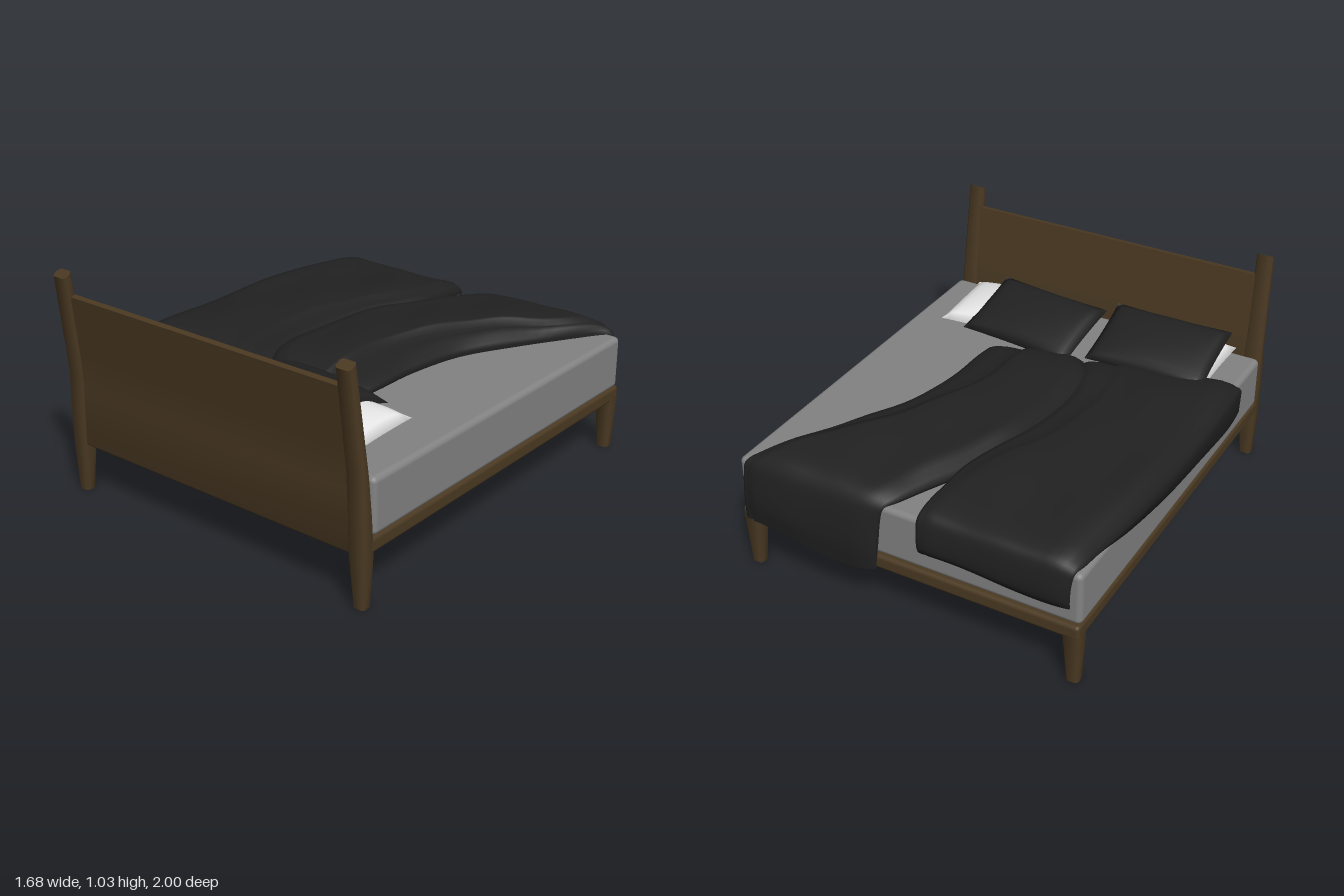
import * as THREE from 'three';
import { mergeVertices, toCreasedNormals } from 'three/addons/utils/BufferGeometryUtils.js';
import { RoundedBoxGeometry } from 'three/addons/geometries/RoundedBoxGeometry.js';

const CX = 0.0245; // centre line of the bed frame

const flat = (name, color, side = THREE.FrontSide) => {
  const m = new THREE.MeshStandardMaterial({ color, side });
  m.name = name;
  return m;
};

function add(group, name, geometry, material) {
  const mesh = new THREE.Mesh(geometry, material);
  mesh.name = name;
  group.add(mesh);
  return mesh;
}

// Grid of points (rows of equal length) to a geometry
function skin(rows, closed) {
  const n = rows[0].length, pos = rows.flat(2), idx = [];
  for (let r = 0; r < rows.length - 1; r++) {
    for (let c = 0; c < (closed ? n : n - 1); c++) {
      const a = r * n + c, b = r * n + (c + 1) % n;
      idx.push(a, a + n, b, b, a + n, b + n);
    }
  }
  if (closed) { // end caps
    const top = (rows.length - 1) * n;
    for (let c = 1; c < n - 1; c++) idx.push(0, c, c + 1, top, top + c + 1, top + c);
  }
  const g = new THREE.BufferGeometry();
  g.setAttribute('position', new THREE.Float32BufferAttribute(pos, 3));
  g.setIndex(idx);
  g.computeVertexNormals();
  return g;
}

// Tapered post with chamfered corners; stations: y, inner x, outer x, z min, z max, slope of the cut
function post(stations, side) {
  const k = 0.01;
  const rows = stations.map(([y, xi, xo, z0, z1, slope = 0]) => {
    const x0 = CX + Math.min(xi * side, xo * side), x1 = CX + Math.max(xi * side, xo * side);
    return [[x0 + k, z0], [x1 - k, z0], [x1, z0 + k], [x1, z1 - k],
      [x1 - k, z1], [x0 + k, z1], [x0, z1 - k], [x0, z0 + k]].map(([x, z]) => [x, y - slope * (z - z0), z]);
  });
  return toCreasedNormals(skin(rows, true), 0.9);
}

// Cushion pinched to a seam around its edge
function pillow(w, d, up, down) {
  let g = new THREE.BoxGeometry(2, 2, 2, 18, 1, 14);
  g.deleteAttribute('normal');
  g.deleteAttribute('uv');
  const p = g.attributes.position;
  for (let i = 0; i < p.count; i++) {
    const u = p.getX(i), v = p.getZ(i), s = p.getY(i);
    const puff = Math.pow(Math.max(0, (1 - u * u) * (1 - v * v)), 0.42);
    p.setXYZ(i, u * w / 2 * (1 - 0.02 * (1 - v * v)), s > 0 ? puff * up : -puff * down,
      v * d / 2 * (1 - 0.03 * (1 - u * u)));
  }
  g = mergeVertices(g, 1e-5);
  g.computeVertexNormals();
  return g;
}

// Draped cover; stations from head to foot:
// base z, base y, outer z, outer y, left x, fold x, right x, side drop, z skew
function cover(stations, flap, phase) {
  const size = 9, steps = 5, rows = [];
  const curve = new THREE.CubicInterpolant(stations.map((_, i) => i), stations.flat(), size, new Float32Array(size));
  const total = (stations.length - 1) * steps;
  for (let r = 0; r <= total; r++) {
    const [zb, yb, zo, yo, xl, xm, xr, drop, skew] = Array.from(curve.evaluate(r / steps));
    // section points: x, thickness fraction, drop
    const sec = [[xl + 0.04, 0, drop], [xl + 0.004, 0, drop * 0.72], [xl, 0.15, 0],
      [xl + 0.008, 0.5, 0], [xl + 0.045, 0.8, 0]];
    for (let i = 0; i <= 14; i++) sec.push([xl + 0.09 + (xm - xl - 0.09) * i / 14, 0.95 + 0.04 * Math.sin(Math.PI * i / 14), 0]);
    const w = xr - xm;
    sec.push([xm + w * 0.12, flap, 0], [xm + w * 0.5, flap * 1.03, 0], [xm + w * 0.8, flap * 0.88, 0],
      [xm + w * 0.97, flap * 0.5, 0], [xm + w, flap * 0.25, 0], [xm + w * 0.97, 0, 0]);
    const hang = Math.max(0, 0.5 - yb) * 4;
    rows.push(sec.map(([x, t, d]) => {
      const f = (x - xl) / (xr - xl);
      const k = t * (1 + 0.06 * Math.sin(11 * x + 5 * zb + phase) + 0.04 * Math.sin(19 * x - 9 * zb + phase * 2));
      const sag = hang * 0.025 * (Math.sin(f * 5 + phase) - 0.3);
      return [x, yb + (yo - yb) * k - d - sag, zb + (zo - zb) * k + skew * f];
    }));
  }
  return skin(rows, false);
}

export function createModel() {
  const bed = new THREE.Group();
  bed.name = 'bed';
  const wood = flat('dark wood', 0x4a3922);
  const grey = flat('mattress grey', 0x828282);
  const white = flat('pillow white', 0xeeeeee);
  const black = flat('charcoal cloth', 0x212121, THREE.DoubleSide);

  // Frame and mattress
  add(bed, 'bedBase', new RoundedBoxGeometry(1.62, 0.07, 1.855, 3, 0.018), wood).position.set(CX, 0.265, -0.0175);
  add(bed, 'mattress', new RoundedBoxGeometry(1.62, 0.248, 1.81, 4, 0.025), grey).position.set(CX, 0.422, -0.025);

  // Head posts and foot legs
  const headPost = [[0, 0.748, 0.803, 0.883, 0.934], [0.23, 0.732, 0.81, 0.87, 0.944],
    [0.40, 0.728, 0.81, 0.883, 0.944], [0.57, 0.722, 0.805, 0.896, 0.945], [1.035, 0.718, 0.792, 0.956, 1.0, 0.5]];
  const footLeg = [[0, 0.748, 0.803, -0.932, -0.88], [0.25, 0.732, 0.81, -0.945, -0.868]];
  for (const [side, label] of [[1, 'left'], [-1, 'right']]) {
    add(bed, label + 'HeadPost', post(headPost, side), wood);
    add(bed, label + 'FootLeg', post(footLeg, side), wood);
  }

  // Leaning headboard panel, drawn as a side profile and extruded across
  const s = new THREE.Shape();
  s.moveTo(0.898, 0.24);
  s.lineTo(0.898, 0.5);
  s.quadraticCurveTo(0.9, 0.58, 0.91, 0.65);
  s.lineTo(0.945, 0.932);
  s.lineTo(0.972, 0.928);
  s.lineTo(0.942, 0.65);
  s.quadraticCurveTo(0.934, 0.58, 0.932, 0.5);
  s.lineTo(0.932, 0.24);
  s.quadraticCurveTo(0.93, 0.224, 0.916, 0.224);
  s.quadraticCurveTo(0.902, 0.224, 0.898, 0.24);
  const board = new THREE.ExtrudeGeometry(s, { depth: 1.48, bevelEnabled: false, curveSegments: 6 });
  board.rotateY(-Math.PI / 2).translate(CX + 0.74, 0, 0);
  add(bed, 'headboard', toCreasedNormals(board, 0.6), wood);

  // Pillows: position, turn, lean
  const place = (name, geo, mat, x, y, z, turn, lean) => {
    const m = add(bed, name, geo, mat);
    m.position.set(x, y, z);
    m.rotation.set(lean, turn, 0, 'YXZ');
  };
  const lower = pillow(0.57, 0.4, 0.072, 0.04), upper = pillow(0.575, 0.375, 0.055, 0.035);
  place('rightWhitePillow', lower, white, -0.39, 0.584, 0.655, 0, 0);
  place('leftWhitePillow', lower, white, 0.395, 0.584, 0.645, 0.055, 0);
  place('rightDarkPillow', upper, black, -0.39, 0.648, 0.6, 0.01, -0.3);
  place('leftDarkPillow', upper, black, 0.22, 0.648, 0.54, -0.107, -0.3);

  // Two covers draped over the foot end
  add(bed, 'rightCover', cover([
    [0.57, 0.55, 0.57, 0.56, -0.82, -0.26, -0.10, 0.13, -0.14],
    [0.54, 0.545, 0.54, 0.605, -0.825, -0.28, -0.10, 0.14, -0.14],
    [0.38, 0.545, 0.38, 0.635, -0.838, -0.31, -0.15, 0.13, -0.12],
    [0.10, 0.545, 0.10, 0.638, -0.842, -0.33, -0.18, 0.09, -0.05],
    [-0.25, 0.545, -0.25, 0.642, -0.835, -0.28, -0.14, 0.06, 0],
    [-0.55, 0.545, -0.55, 0.64, -0.812, -0.15, -0.06, 0.03, 0],
    [-0.75, 0.545, -0.75, 0.625, -0.785, -0.11, -0.055, 0, 0],
    [-0.86, 0.545, -0.88, 0.608, -0.77, -0.10, -0.05, 0, 0],
    [-0.92, 0.54, -0.945, 0.575, -0.755, -0.10, -0.05, 0, 0],
    [-0.932, 0.49, -0.965, 0.50, -0.745, -0.10, -0.05, 0, 0],
    [-0.932, 0.42, -0.965, 0.42, -0.74, -0.10, -0.05, 0, 0],
    [-0.934, 0.38, -0.94, 0.375, -0.74, -0.10, -0.05, 0, 0],
  ], 0.78, 0.6), black);
  add(bed, 'leftCover', cover([
    [0.425, 0.55, 0.425, 0.56, -0.10, 0.16, 0.35, 0, -0.08],
    [0.40, 0.545, 0.40, 0.61, -0.12, 0.157, 0.35, 0, -0.08],
    [0.25, 0.545, 0.25, 0.64, -0.215, 0.157, 0.355, 0, -0.04],
    [0, 0.545, 0, 0.648, -0.225, 0.165, 0.36, 0, 0],
    [-0.27, 0.545, -0.27, 0.653, -0.19, 0.26, 0.41, 0, 0],
    [-0.52, 0.545, -0.52, 0.648, -0.095, 0.40, 0.535, 0, 0],
    [-0.75, 0.545, -0.75, 0.632, 0.015, 0.61, 0.67, 0, 0],
    [-0.87, 0.545, -0.89, 0.615, 0.07, 0.69, 0.745, 0, 0],
    [-0.925, 0.54, -0.955, 0.572, 0.105, 0.74, 0.79, 0, 0],
    [-0.935, 0.48, -0.98, 0.5, 0.12, 0.75, 0.80, 0, 0],
    [-0.945, 0.36, -0.993, 0.36, 0.13, 0.75, 0.80, 0, 0],
    [-0.958, 0.25, -0.98, 0.24, 0.14, 0.75, 0.80, 0, 0],
  ], 0.7, 0.3), black);

  return bed;
}
